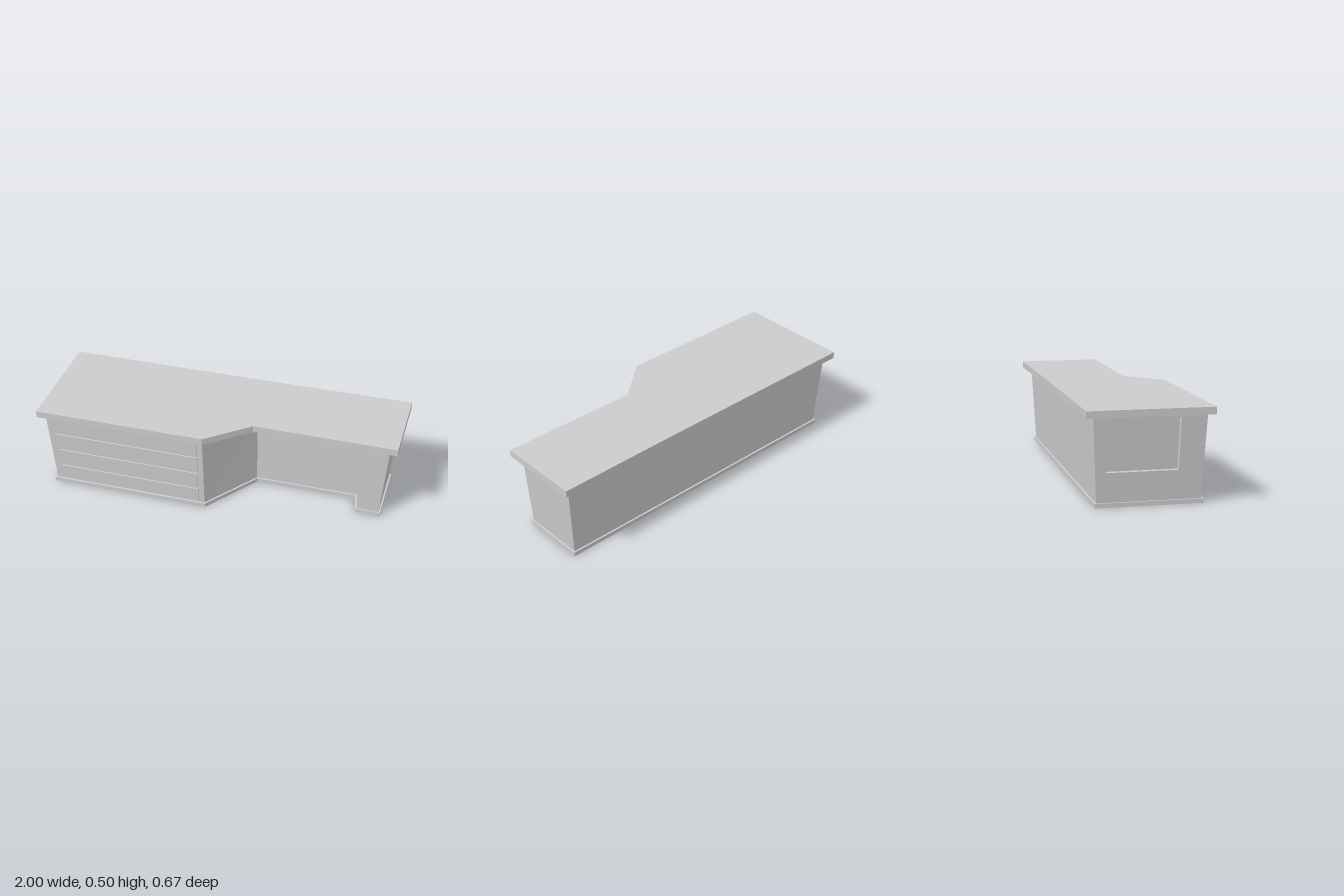
import * as THREE from 'three';

const material = new THREE.MeshStandardMaterial({ color: 0xcccccc, flatShading: true });

// Collects corner triples; quads run counter-clockwise seen from outside
const quad = (out, a, b, c, d) => out.push(a, b, c, a, c, d);

function toMesh(points, name) {
  const geometry = new THREE.BufferGeometry();
  geometry.setAttribute('position', new THREE.Float32BufferAttribute(points.flat(), 3));
  geometry.computeVertexNormals();
  const mesh = new THREE.Mesh(geometry, material);
  mesh.name = name;
  return mesh;
}

// Solid between two [x, z] outlines (back left, back right, then round the front)
function loft(lower, y0, upper, y1, skipEdge = -1) {
  const out = [];
  const n = lower.length;
  const lo = lower.map(([x, z]) => [x, y0, z]);
  const up = upper.map(([x, z]) => [x, y1, z]);
  for (let i = 0; i < n; i++) {
    const j = (i + 1) % n;
    if (i !== skipEdge) quad(out, lo[j], lo[i], up[i], up[j]);
  }
  for (const [ring, sign] of [[lo, -1], [up, 1]]) {
    const flat = ring.map(p => new THREE.Vector2(p[0], p[2]));
    for (const [i, j, k] of THREE.ShapeUtils.triangulateShape(flat, [])) {
      const turn = flat[j].clone().sub(flat[i]).cross(flat[k].clone().sub(flat[i]));
      // Clockwise in x/z means the face looks up
      if (turn * sign < 0) out.push(ring[i], ring[j], ring[k]);
      else out.push(ring[i], ring[k], ring[j]);
    }
  }
  return out;
}

export function createModel() {
  const group = new THREE.Group();
  group.name = 'counter';
  const base = 0.023, under = 0.462, top = 0.5;

  // Worktop with a stepped front
  const slab = [[-1, -0.328], [0.33, -0.328], [1, -0.333], [1, 0.142], [0.2, 0.137], [-0.035, 0.333], [-1, 0.333]];
  group.add(toMesh(loft(slab, under, slab, top), 'worktop'));

  // Plinth
  const plinth = [[-0.94, -0.275], [0.93, -0.275], [0.93, 0.1], [0.79, 0.1],
    [0.765, -0.02], [0.19, -0.02], [-0.035, 0.29], [-0.94, 0.29]];
  group.add(toMesh(loft(plinth, 0, plinth, base), 'plinth'));

  // Cabinet body, flaring upwards, with an end pillar and a set-back panel
  const lower = [[-0.93, -0.265], [0.92, -0.265], [0.92, 0.093], [0.8, 0.093],
    [0.775, -0.03], [0.185, -0.03], [-0.04, 0.278], [-0.93, 0.278]];
  const upper = [[-0.96, -0.285], [0.955, -0.285], [0.955, 0.1], [0.83, 0.1],
    [0.8, -0.025], [0.185, -0.025], [-0.045, 0.3], [-0.96, 0.3]];
  const body = loft(lower, base, upper, under, 7);

  // Right end wall with a recessed panel
  const lerp = THREE.MathUtils.lerp;
  const endPoint = (s, t, inset = 0) => [
    lerp(-0.93, -0.96, t) + inset,
    lerp(base, under, t),
    lerp(lerp(-0.265, 0.278, s), lerp(-0.285, 0.3, s), t)
  ];
  const corners = (s0, s1, t0, t1, inset) =>
    [[s0, t0], [s1, t0], [s1, t1], [s0, t1]].map(([s, t]) => endPoint(s, t, inset));
  const outer = corners(0, 1, 0, 1, 0);
  const rim = corners(0.1, 0.77, 0.35, 0.96, 0);
  const inner = corners(0.1, 0.77, 0.35, 0.96, 0.03);
  for (let k = 0; k < 4; k++) {
    const m = (k + 1) % 4;
    quad(body, outer[k], outer[m], rim[m], rim[k]);
    quad(body, rim[k], rim[m], inner[m], inner[k]);
  }
  quad(body, ...inner);
  group.add(toMesh(body, 'cabinetBody'));

  // Four drawer fronts leaning with the wide front
  const drawerOutline = y => {
    const t = (y - base) / (under - base);
    const z = lerp(0.278, 0.3, t), left = lerp(-0.89, -0.92, t);
    return [[left, z - 0.01], [-0.075, z - 0.01], [-0.075, z + 0.008], [left, z + 0.008]];
  };
  for (let i = 0; i < 4; i++) {
    const y0 = 0.032 + i * 0.111, y1 = y0 + 0.088;
    group.add(toMesh(loft(drawerOutline(y0), y0, drawerOutline(y1), y1), 'drawerFront' + (i + 1)));
  }
  return group;
}
